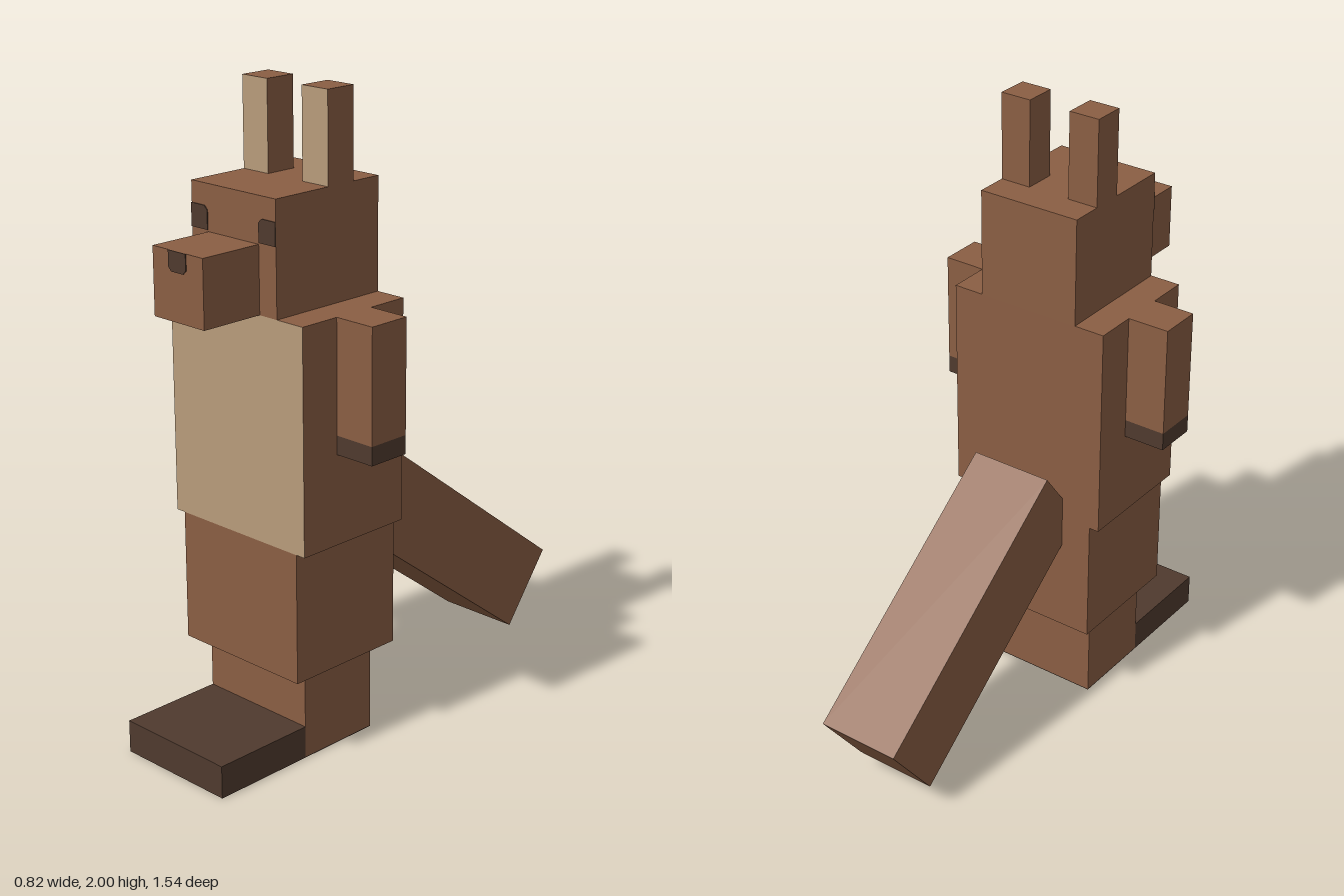
import * as THREE from 'three';

function material(name, color) {
  const m = new THREE.MeshStandardMaterial({ color });
  m.name = name;
  return m;
}

export function createModel() {
  const model = new THREE.Group();
  model.name = 'blockKangaroo';

  const fur = material('brownFur', 0x8a5e43);
  const cream = material('creamFur', 0xb89c7b);
  const dark = material('darkFur', 0x4f3a2e);
  // brown block whose front face is cream
  const creamFront = [fur, fur, fur, fur, cream, fur];

  // Box from its min and max on each axis
  function block(name, [x0, x1], [y0, y1], [z0, z1], mat) {
    const mesh = new THREE.Mesh(new THREE.BoxGeometry(x1 - x0, y1 - y0, z1 - z0), mat);
    mesh.position.set((x0 + x1) / 2, (y0 + y1) / 2, (z0 + z1) / 2);
    mesh.name = name;
    model.add(mesh);
    return mesh;
  }

  // Thin painted plate facing the front
  function plate(name, points, z) {
    const shape = new THREE.Shape(points.map(([x, y]) => new THREE.Vector2(x, y)));
    const geometry = new THREE.ExtrudeGeometry(shape, { depth: 0.003, bevelEnabled: false });
    const mesh = new THREE.Mesh(geometry, dark);
    mesh.position.z = z;
    mesh.name = name;
    model.add(mesh);
  }

  // Body stack
  const depth = [0.085, 0.495];
  block('legs', [-0.205, 0.205], [0.003, 0.28], [0.15, 0.43], fur);
  block('hips', [-0.24, 0.24], [0.28, 0.69], depth, fur);
  block('torso', [-0.273, 0.273], [0.69, 1.38], depth, creamFront);
  block('head', [-0.172, 0.172], [1.38, 1.725], depth, fur);
  block('muzzle', [-0.103, 0.103], [1.38, 1.585], [0.495, 0.705], fur);

  // Feet and the sole under the legs
  block('feet', [-0.205, 0.205], [0, 0.103], [0.43, 0.77], dark);
  block('sole', [-0.205, 0.205], [0, 0.003], [0.15, 0.43], dark);

  // Nose, with clipped lower corners
  plate('nose', [[-0.036, 1.585], [-0.036, 1.537], [-0.024, 1.525],
    [0.024, 1.525], [0.036, 1.537], [0.036, 1.585]], 0.705);

  // Mirrored parts
  for (const [side, s] of [['left', 1], ['right', -1]]) {
    const span = (a, b) => (s > 0 ? [a, b] : [-b, -a]);
    block(side + 'Ear', span(0.07, 0.172), [1.725, 2], [0.187, 0.29], creamFront);
    block(side + 'Arm', span(0.273, 0.41), [1.028, 1.38], [0.22, 0.36], fur);
    block(side + 'Paw', span(0.273, 0.41), [0.97, 1.028], [0.22, 0.36], dark);
    plate(side + 'Eye', [[0.172, 1.59], [0.172, 1.66], [0.117, 1.66],
      [0.105, 1.648], [0.105, 1.59]].map(([x, y]) => [s * x, y]), 0.495);
  }

  // Tail slopes down to the back
  const tail = block('tail', [-0.137, 0.137], [0.331, 0.609], [-0.782, 0.182], fur);
  tail.rotation.x = -Math.atan2(0.58, 0.77);

  return model;
}
